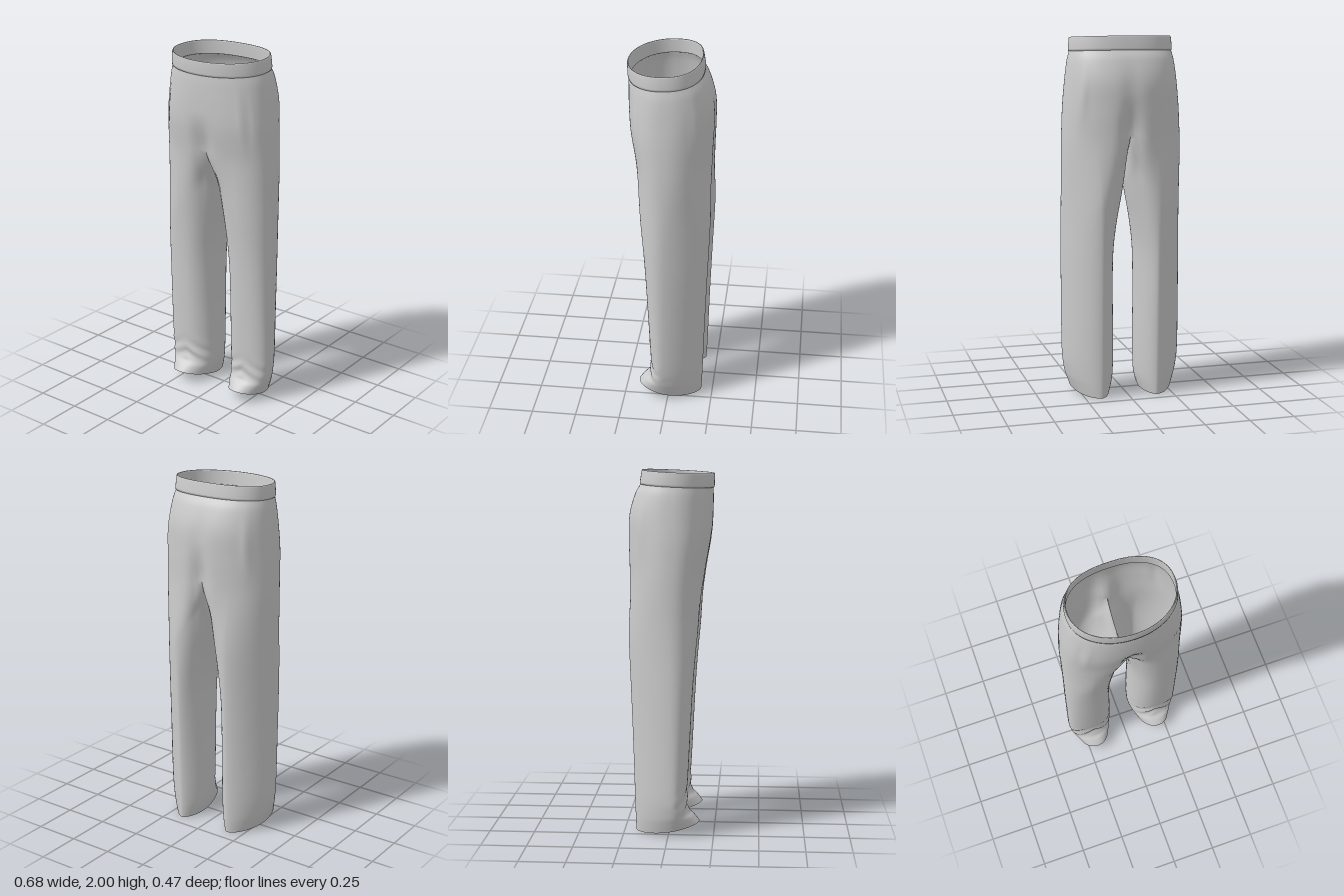
import * as THREE from 'three';
import { mergeVertices } from 'three/addons/utils/BufferGeometryUtils.js';

const { smoothstep, lerp } = THREE.MathUtils;
const fabric = new THREE.MeshStandardMaterial({ color: 0xcccccc, roughness: 0.9, side: THREE.DoubleSide });
const bell = (v, centre, width) => Math.exp(-(((v - centre) / width) ** 2));
const signedPow = (v, p) => Math.sign(v) * Math.abs(v) ** p;

// Silhouette from waist to hem: height, outer x, inner x, front z, back z
const KEYS = [
  [1.905, 0.283, 0, 0.231, -0.165],
  [1.85, 0.297, 0, 0.233, -0.198],
  [1.75, 0.311, 0, 0.231, -0.23],
  [1.62, 0.324, 0, 0.222, -0.235],
  [1.47, 0.332, 0, 0.198, -0.232],
  [1.35, 0.335, 0.004, 0.183, -0.23],
  [1.2, 0.336, 0.02, 0.165, -0.226],
  [1.0, 0.338, 0.045, 0.145, -0.22],
  [0.8, 0.34, 0.062, 0.13, -0.212],
  [0.55, 0.34, 0.064, 0.117, -0.203],
  [0.35, 0.34, 0.062, 0.107, -0.197],
  [0.2, 0.337, 0.062, 0.1, -0.193],
  [0.1, 0.325, 0.066, 0.11, -0.19],
  [0.05, 0.312, 0.074, 0.14, -0.188],
  [0, 0.295, 0.088, 0.17, -0.185],
];
const CROTCH_KEY = 4, CROTCH_Y = 1.47;
const STEPS = 6;   // rows between two keys
const OUTER = 48;  // columns from the front seam round the outside to the back seam
const INNER = 20;  // columns of the inner leg

// Superellipse ring with separate front and back depth and fullness; angle 0 is the front
function ring(angle, cx, halfWidth, zc, zF, zB, nF, nB) {
  const s = Math.sin(angle), c = Math.cos(angle);
  const p = 2 / (c > 0 ? nF : nB);
  return [cx + halfWidth * signedPow(s, p), zc + (c > 0 ? zF - zc : zc - zB) * signedPow(c, p)];
}

// Hips: half ring about the middle, pulled in along the centre seam
function hipPoint(s, y, xo, zF, zB) {
  const full = smoothstep(y, 1.6, 1.9);
  const p = ring(Math.PI * s, 0, xo, lerp(0.012, 0.03, full), zF, zB, lerp(2.4, 2.05, full), lerp(2.1, 2.4, full));
  if (s === 0 || s === 1) p[0] = 0;
  const cleft = 1 - smoothstep(y, CROTCH_Y, 1.7);
  const seat = 0.01 * bell(y, 1.7, 0.12);
  p[1] += bell(p[0], 0, 0.05) * (s < 0.5 ? -0.035 * cleft : 0.04 * cleft + seat);
  // soft folds hanging from the waistband
  const hang = bell(y, 1.68, 0.13);
  p[1] -= 0.012 * hang * bell(s, 0.71, 0.035);
  p[1] += 0.005 * hang * (bell(s, 0.25, 0.025) - bell(s, 0.3, 0.025));
  return p;
}

// Leg: four quarter curves between the front crease, outer side, back and inner side,
// fuller in front than behind, with shin wrinkles
function legPoint(angle, y, xo, xi, zF, zB) {
  const top = smoothstep(y, 0.7, 1.4);
  const inside = Math.sin(angle) < 0;
  const cx = Math.cos(angle) > 0 ? 0.2 : 0.16;
  const p = inside
    ? ring(angle, cx, cx - xi, -0.04, zF, zB, lerp(2.2, 2.5, top), lerp(1.6, 2.4, top))
    : ring(angle, cx, xo - cx, 0.03, zF, zB, lerp(2.25, 1.85, top), 1.6);
  const front = smoothstep(p[1], -0.05, 0.08);
  p[1] += front * 0.006 * bell(y, 0.17, 0.07) * Math.cos(y * 60 + Math.abs(p[0] - 0.2) * 45);
  return p;
}

function halfPoint(col, row) {
  const [y, xo, xi, zF, zB] = row;
  const corner = Math.PI / 4;
  let x, z, h = y;
  if (col <= OUTER) {
    // the outside of the hip flows further down into the leg than the seams do
    const s = col / OUTER;
    const w = 1 - smoothstep(y, lerp(1.27, 0.9, Math.sin(Math.PI * s)), CROTCH_Y);
    const hip = hipPoint(s, y, xo, zF, zB);
    const leg = legPoint(lerp(-corner, Math.PI + corner, s), y, xo, xi, zF, zB);
    x = lerp(hip[0], leg[0], w);
    z = lerp(hip[1], leg[1], w);
    h += 0.01 * (1 - Math.cos(Math.PI * s)) * smoothstep(y, 1.7, 1.905);
  } else {
    // inner leg grows out of the sagging crotch seam
    const s = (col - OUTER) / INNER;
    const w = 1 - smoothstep(y, 1.27, CROTCH_Y);
    const back = hipPoint(1, y, xo, zF, zB)[1], front = hipPoint(0, y, xo, zF, zB)[1];
    const leg = legPoint(lerp(Math.PI + corner, 2 * Math.PI - corner, s), y, xo, xi, zF, zB);
    x = lerp(0, leg[0], w);
    z = lerp(lerp(back, front, s), leg[1], w);
    h -= 0.13 * Math.sin(Math.PI * s) * smoothstep(y, 0.8, CROTCH_Y);
  }
  // hem rises towards the instep
  const reach = Math.max(0, (z + 0.185) / 0.355);
  h += 0.07 * reach ** 1.6 * (1 - smoothstep(y, 0, 0.28));
  return [x, h, z];
}

function smoothMesh(name, positions, indices) {
  let g = new THREE.BufferGeometry();
  g.setAttribute('position', new THREE.Float32BufferAttribute(positions, 3));
  g.setIndex(indices);
  g = mergeVertices(g, 1e-4);
  g.computeVertexNormals();
  const mesh = new THREE.Mesh(g, fabric);
  mesh.name = name;
  return mesh;
}

// Both halves in one smooth skin, joined along the centre seam
function trousers() {
  const sideCurve = new THREE.CatmullRomCurve3(KEYS.map(k => new THREE.Vector3(k[0], k[1], k[2])), false, 'catmullrom');
  const depthCurve = new THREE.CatmullRomCurve3(KEYS.map(k => new THREE.Vector3(k[0], k[3], k[4])), false, 'catmullrom');
  const rows = (KEYS.length - 1) * STEPS, cols = OUTER + INNER;
  const positions = [], indices = [];
  for (const side of [1, -1]) {
    const base = positions.length / 3;
    for (let i = 0; i <= rows; i++) {
      const a = sideCurve.getPoint(i / rows), b = depthCurve.getPoint(i / rows);
      const row = [a.x, a.y, i <= CROTCH_KEY * STEPS ? 0 : Math.max(0, a.z), b.y, b.z];
      for (let j = 0; j < cols; j++) {
        const [x, y, z] = halfPoint(j, row);
        positions.push(side * x, y, z);
      }
    }
    for (let i = 0; i < rows; i++) {
      const used = i < CROTCH_KEY * STEPS ? OUTER : cols;
      for (let j = 0; j < used; j++) {
        const k = (j + 1) % cols;
        const a = base + i * cols + j, b = a + cols, d = base + i * cols + k, c = d + cols;
        if (side > 0) indices.push(a, b, d, b, c, d);
        else indices.push(a, d, b, b, d, c);
      }
    }
  }
  return smoothMesh('trouserLegsAndSeat', positions, indices);
}

// Waistband: a thin band, higher at the back; half width, front z, back z, height
function waistband() {
  const profile = [
    [0.278, 0.225, -0.159, 1.902],
    [0.287, 0.236, -0.17, 1.904],
    [0.288, 0.238, -0.17, 1.915],
    [0.286, 0.239, -0.165, 1.945],
    [0.283, 0.24, -0.16, 1.974],
    [0.281, 0.238, -0.158, 1.98],
    [0.277, 0.234, -0.154, 1.979],
    [0.276, 0.232, -0.153, 1.972],
    [0.277, 0.224, -0.158, 1.903],
  ];
  const n = 96, positions = [], indices = [];
  profile.forEach(([w, zF, zB, y]) => {
    for (let j = 0; j < n; j++) {
      const t = (j / n) * Math.PI * 2;
      const [x, z] = ring(t, 0, w, 0.03, zF, zB, 2.05, 2.4);
      positions.push(x, y + 0.01 * (1 - Math.cos(t)), z);
    }
  });
  for (let i = 0; i < profile.length - 1; i++) {
    for (let j = 0; j < n; j++) {
      const a = i * n + j, d = i * n + ((j + 1) % n), b = a + n, c = d + n;
      indices.push(a, d, b, b, d, c);
    }
  }
  return smoothMesh('waistband', positions, indices);
}

export function createModel() {
  const group = new THREE.Group();
  group.name = 'trousers';
  group.add(trousers(), waistband());
  return group;
}
